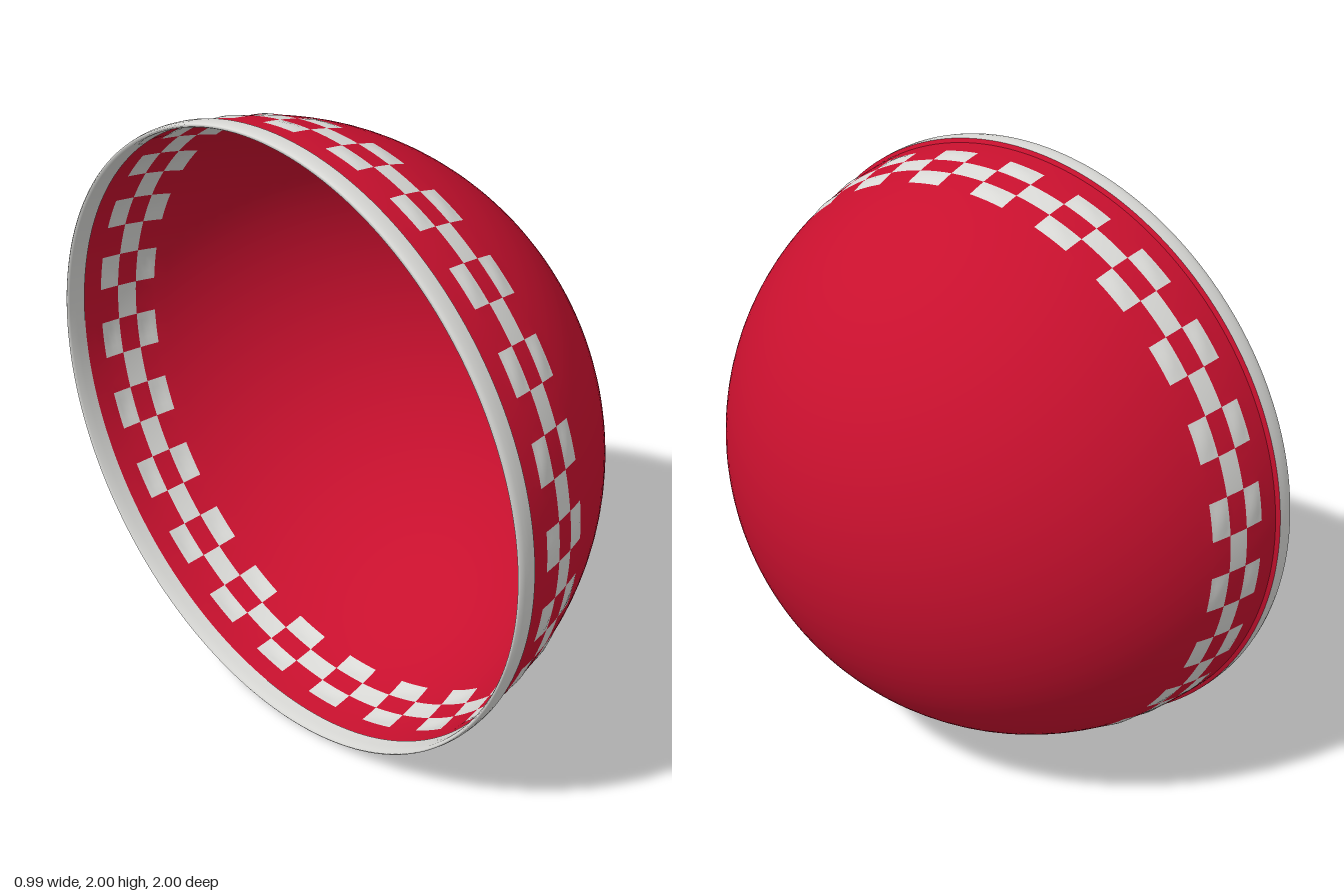
import * as THREE from 'three';
import { mergeVertices } from 'three/addons/utils/BufferGeometryUtils.js';

const R = 0.988, BASE = -0.494, SEGMENTS = 192, CELL = 4; // 48 checker cells of 4 segments

export function createModel() {
  const red = new THREE.MeshStandardMaterial({ color: 0xc8102e, side: THREE.DoubleSide });
  red.name = 'red';
  const grey = new THREE.MeshStandardMaterial({ color: 0xd9d9d6, side: THREE.DoubleSide });
  grey.name = 'light grey';

  const cup = new THREE.Group();
  cup.name = 'halfShell';
  const add = (name, geometry, material) => {
    geometry.rotateZ(-Math.PI / 2); // lathe axis becomes x
    geometry.translate(0, 1, 0);
    const mesh = new THREE.Mesh(geometry, material);
    mesh.name = name;
    cup.add(mesh);
  };
  const lathe = (points) =>
    new THREE.LatheGeometry(points.map(([r, h]) => new THREE.Vector2(r, h)), SEGMENTS);

  // Dome profile: plain edge, three checker columns of four rows each, then up to the pole
  const heights = [-0.43, -0.395];
  const bandStart = heights.length, rows = 4, columns = 3;
  for (let j = 0; j <= rows * columns; j++) heights.push(-0.365 + (0.187 * j) / (rows * columns));
  const bandEnd = bandStart + rows * columns;
  const profile = heights.map((h) => [Math.sqrt(R * R - (h - BASE) ** 2), h]);
  const start = Math.asin((heights[bandEnd] - BASE) / R);
  for (let j = 1; j <= 28; j++) {
    const a = start + ((Math.PI / 2 - start) * j) / 28;
    profile.push([R * Math.cos(a), BASE + R * Math.sin(a)]);
  }
  let dome = lathe(profile);

  // Outer columns are grey in odd cells, the middle column in even cells
  const isGrey = (i, j) => {
    if (j < bandStart || j >= bandEnd) return false;
    const middle = Math.floor((j - bandStart) / rows) === 1;
    return (Math.floor(i / CELL) % 2 === 1) !== middle;
  };

  // Puff the outer grey cells slightly
  const p = dome.attributes.position, n = profile.length;
  for (let i = 0; i <= SEGMENTS; i++) {
    for (let j = bandStart; j < bandEnd; j++) {
      const middle = Math.floor((j - bandStart) / rows) === 1;
      if (middle || !isGrey(i, j)) continue;
      const bump = Math.sin((Math.PI * (i % CELL)) / CELL) *
        Math.sin((Math.PI * ((j - bandStart) % rows)) / rows);
      const k = i * n + j, s = 1 + 0.005 * bump;
      p.setXYZ(k, p.getX(k) * s, p.getY(k), p.getZ(k) * s);
    }
  }

  // One material group for each run of equal colour
  let runStart = 0, runColour = 0, index = 0;
  for (let i = 0; i < SEGMENTS; i++) {
    for (let j = 0; j < n - 1; j++, index += 6) {
      const colour = isGrey(i, j) ? 1 : 0;
      if (colour === runColour) continue;
      dome.addGroup(runStart, index - runStart, runColour);
      runStart = index;
      runColour = colour;
    }
  }
  dome.addGroup(runStart, index - runStart, runColour);

  // Weld the seam for smooth normals
  dome.deleteAttribute('normal');
  dome.deleteAttribute('uv');
  dome = mergeVertices(dome, 1e-5);
  dome.computeVertexNormals();
  add('checkeredDome', dome, [red, grey]);

  // Rounded rim round the open side, and the red step behind it
  add('rim', lathe([
    [0.982, -0.43], [0.984, -0.46], [0.986, -0.485], [0.991, -0.494],
    [0.997, -0.49], [1, -0.475], [1, -0.455], [0.998, -0.435],
  ]), grey);
  add('rimStep', lathe([[0.998, -0.435], [0.986, -0.428]]), red);

  return cup;
}
